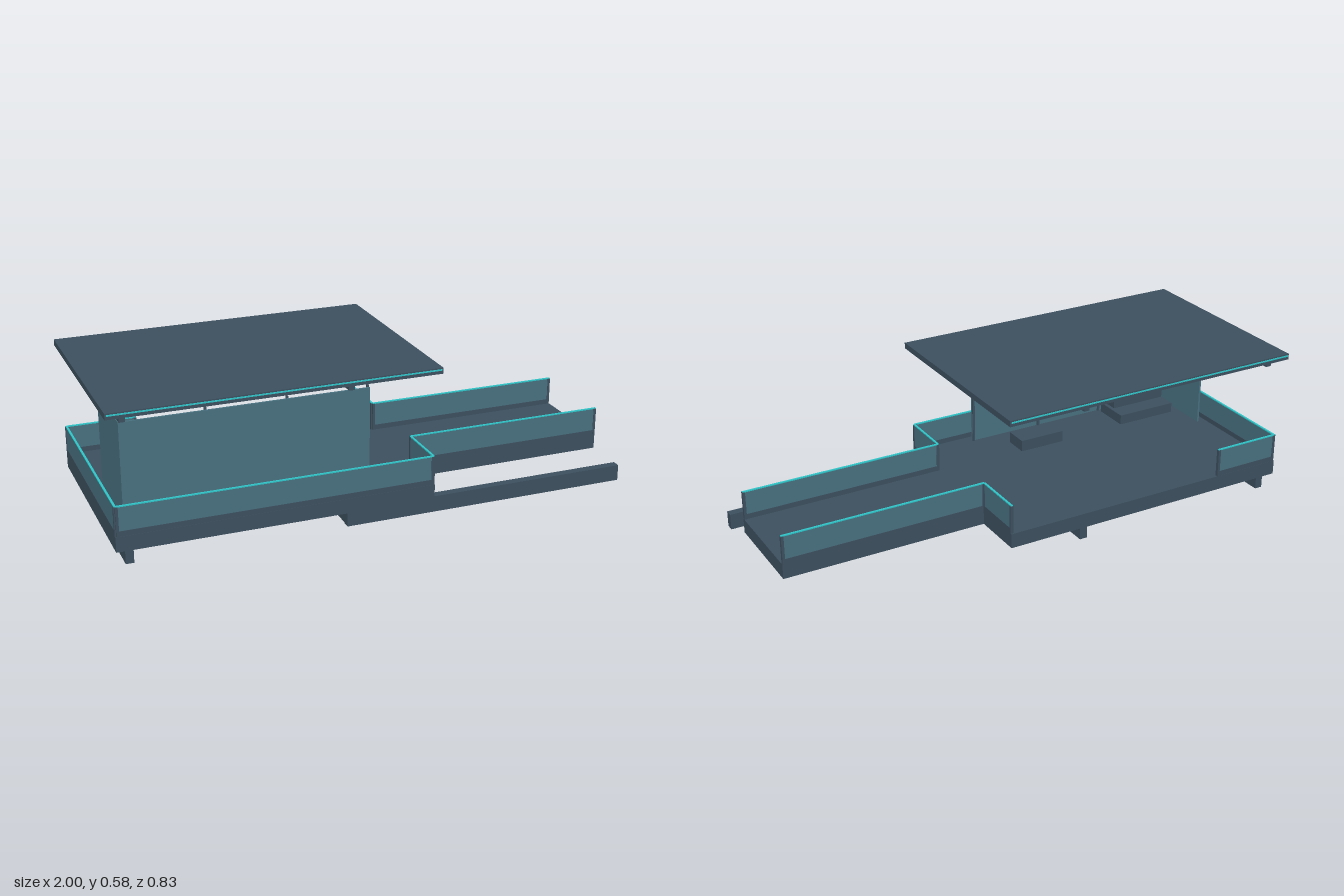
import * as THREE from 'three';

const mat = (name, color, extra = {}) =>
  Object.assign(new THREE.MeshStandardMaterial({ color, ...extra }), { name });

export function createModel() {
  const slate = mat('slate', 0x3c4f5e);
  const glass = mat('tinted glass', 0x48707f);
  const cyan = mat('cyan trim', 0x2fc4c8);
  const wood = mat('ceiling wood', 0x5c4a2f);
  const amber = mat('amber light', 0xb07a3c);

  const model = new THREE.Group();
  model.name = 'pavilion';

  // Box given by its min and max on each axis
  const box = (name, m, x0, x1, y0, y1, z0, z1, parent = model) => {
    const mesh = new THREE.Mesh(new THREE.BoxGeometry(x1 - x0, y1 - y0, z1 - z0), m);
    mesh.position.set((x0 + x1) / 2, (y0 + y1) / 2, (z0 + z1) / 2);
    mesh.name = name;
    parent.add(mesh);
    return mesh;
  };

  // Foundation beams
  box('rearFoundationBeam', slate, -0.95, -0.92, 0.003, 0.065, -0.375, 0.375);
  box('middleFoundationBeam', slate, -0.13, -0.10, 0.003, 0.065, -0.375, 0.375);
  box('longFoundationBeam', slate, -0.13, 0.998, 0, 0.062, 0.343, 0.375);

  // Decks
  box('mainDeck', slate, -0.985, 0.205, 0.063, 0.12, -0.396, 0.396);
  box('walkwayDeck', slate, 0.205, 0.998, 0.063, 0.12, -0.189, 0.189);

  // Railing between two points: kick board, glass pane, lit cap and end posts
  const railing = (name, x0, z0, x1, z1) => {
    const g = new THREE.Group();
    g.name = name;
    const len = Math.hypot(x1 - x0, z1 - z0), h = len / 2;
    box('kickBoard', slate, -h, h, 0.12, 0.14, -0.005, 0.005, g);
    box('pane', glass, -h, h, 0.14, 0.229, -0.004, 0.004, g);
    box('cap', cyan, -h, h, 0.229, 0.233, -0.004, 0.004, g);
    for (const s of [-1, 1])
      box('post', slate, s * (h - 0.004) - 0.005, s * (h - 0.004) + 0.005, 0.12, 0.23, -0.006, 0.006, g);
    g.position.set((x0 + x1) / 2, 0, (z0 + z1) / 2);
    g.rotation.y = -Math.atan2(z1 - z0, x1 - x0);
    model.add(g);
  };
  railing('frontRailing', -0.98, 0.39, 0.2, 0.39);
  railing('sideRailing', -0.98, -0.39, -0.98, 0.39);
  railing('backCornerRailing', -0.98, -0.39, -0.71, -0.39);
  for (const s of [-1, 1]) {
    railing('returnRailing', 0.2, s * 0.187, 0.2, s * 0.39);
    railing('walkwayRailing', 0.2, s * 0.185, 0.996, s * 0.185);
  }

  // Glass walls with slim mullions inside the front one
  box('frontWall', glass, -0.945, -0.038, 0.12, 0.518, 0.348, 0.356);
  box('sideWall', glass, -0.945, -0.937, 0.12, 0.518, 0.046, 0.348);
  for (const x of [-0.932, -0.64, -0.345, -0.043])
    box('mullion', slate, x - 0.004, x + 0.004, 0.12, 0.526, 0.341, 0.348);

  // Roof slab, edge lights, cross beams and light strips
  box('roofSlab', slate, -1, 0.22, 0.554, 0.577, -0.411, 0.411);
  for (const s of [-1, 1])
    box('roofEdgeLight', cyan, -0.995, 0.215, 0.567, 0.572, s * 0.412 - 0.002, s * 0.412 + 0.002);
  for (const x of [-0.935, -0.115]) {
    box('roofBeam', slate, x - 0.011, x + 0.011, 0.525, 0.554, -0.376, 0.376);
    box('lightStrip', amber, x - 0.005, x + 0.005, 0.521, 0.525, -0.337, 0.34);
  }

  // Ceiling panels separated by narrow slate gaps
  const cols = 4, rows = 3, w = 1.19 / cols, d = 0.79 / rows;
  for (let i = 0; i < cols; i++)
    for (let j = 0; j < rows; j++) {
      const x = -0.985 + i * w, z = -0.395 + j * d;
      box('ceilingPanel', wood, x + 0.004, x + w - 0.004, 0.551, 0.554, z + 0.004, z + d - 0.004);
    }

  // Furniture
  box('lowTable', slate, -0.353, -0.164, 0.12, 0.165, 0.165, 0.26);
  box('sofaSeat', slate, -0.9, -0.645, 0.12, 0.16, 0.18, 0.33);
  box('sofaBack', slate, -0.9, -0.66, 0.16, 0.21, 0.255, 0.33);
  box('sofaCushion', amber, -0.88, -0.68, 0.21, 0.225, 0.275, 0.325);
  for (const z of [0.29, 0.32])
    box('ornament', slate, -0.8, -0.78, 0.225, 0.239, z - 0.003, z + 0.003);

  return model;
}
